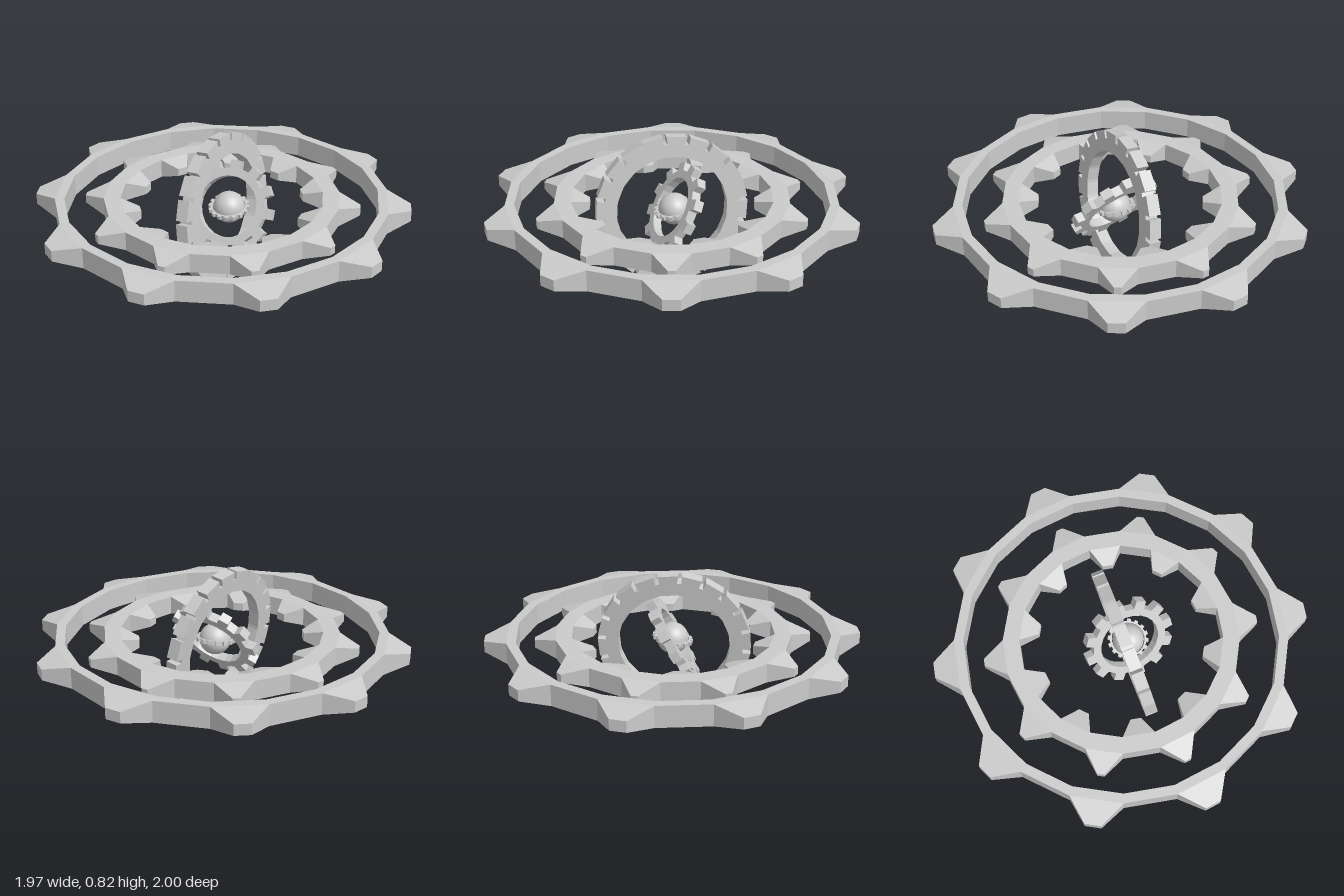
import * as THREE from 'three';

const material = new THREE.MeshStandardMaterial({ color: 0xcccccc, flatShading: true, side: THREE.DoubleSide });
const rad = THREE.MathUtils.degToRad;

// Wedge between radii r0 and r1; [from, to] angles and half-heights at each radius
function addWedge(out, r0, r1, span0, span1, h0, h1, ends) {
  const at = (outer, end, up) => {
    const r = outer ? r1 : r0, a = (outer ? span1 : span0)[end], h = outer ? h1 : h0;
    return [r * Math.cos(a), up ? h : -h, r * Math.sin(a)];
  };
  const quad = (a, b, c, d) => out.push(...a, ...b, ...c, ...a, ...c, ...d);
  quad(at(0, 0, 1), at(0, 1, 1), at(1, 1, 1), at(1, 0, 1));
  quad(at(0, 0, 0), at(1, 0, 0), at(1, 1, 0), at(0, 1, 0));
  quad(at(1, 0, 0), at(1, 0, 1), at(1, 1, 1), at(1, 1, 0));
  quad(at(0, 0, 0), at(0, 1, 0), at(0, 1, 1), at(0, 0, 1));
  if (ends) {
    quad(at(0, 1, 0), at(1, 1, 0), at(1, 1, 1), at(0, 1, 1));
    quad(at(0, 0, 0), at(0, 0, 1), at(1, 0, 1), at(1, 0, 0));
  }
}

// Toothed ring around the y axis; root and crest are half-widths as shares of the pitch
function gearRing(name, { teeth, inner, outer, tip, h, tipH = h, root, crest, phase = 0, inward }) {
  const out = [], pitch = Math.PI * 2 / teeth;
  for (let i = 0; i < teeth; i++) {
    const mid = rad(phase) + i * pitch;
    const span = (m, w) => [m - w * pitch, m + w * pitch];
    const tooth = span(mid, root), gap = span(mid + pitch / 2, 0.5 - root);
    addWedge(out, inner, outer, tooth, tooth, h, h, false);
    addWedge(out, inner, outer, gap, gap, h, h, false);
    addWedge(out, outer, tip, tooth, span(mid, crest), h, tipH, true);
    if (inward) addWedge(out, inward.tip, inner, span(mid + pitch / 2, inward.crest), gap, tipH, h, true);
  }
  const geometry = new THREE.BufferGeometry();
  geometry.setAttribute('position', new THREE.Float32BufferAttribute(out, 3));
  geometry.computeVertexNormals();
  const mesh = new THREE.Mesh(geometry, material);
  mesh.name = name;
  return mesh;
}

// Put a ring at a centre with its axis along a direction
function place(mesh, center, axis) {
  mesh.position.set(...center);
  mesh.quaternion.setFromUnitVectors(new THREE.Vector3(0, 1, 0), new THREE.Vector3(...axis).normalize());
  return mesh;
}

export function createModel() {
  const model = new THREE.Group();
  model.name = 'gearOrrery';
  const core = [0.035, 0.42, -0.02];

  // Two flat rings with tapered teeth
  model.add(place(gearRing('outerRing', {
    teeth: 10, inner: 0.835, outer: 0.885, tip: 1.0, h: 0.058, tipH: 0.03,
    root: 0.25, crest: 0.068, phase: -83.7,
  }), [0, 0.43, 0], [0, 1, 0]));
  model.add(place(gearRing('doubleToothedRing', {
    teeth: 10, inner: 0.54, outer: 0.628, tip: 0.735, h: 0.052, tipH: 0.022,
    root: 0.25, crest: 0.04, phase: -83.7, inward: { tip: 0.44, crest: 0.1 },
  }), [0, 0.43, 0], [0, 1, 0]));

  // Upright ring with narrow slots
  model.add(place(gearRing('uprightRing', {
    teeth: 20, inner: 0.298, outer: 0.367, tip: 0.41, h: 0.033, root: 0.4, crest: 0.42,
  }), [0.015, 0.41, 0], [1, 0.12, -0.41]));

  // Small tilted gear
  model.add(place(gearRing('tiltedGear', {
    teeth: 12, inner: 0.165, outer: 0.208, tip: 0.252, h: 0.025, root: 0.27, crest: 0.21,
  }), core, [0.42, 0.5, 0.757]));

  // Fine collar and the smooth ball it surrounds
  model.add(place(gearRing('coreCollar', {
    teeth: 16, inner: 0.088, outer: 0.098, tip: 0.11, h: 0.01, root: 0.28, crest: 0.22,
  }), core, [0.1, 1, 0.15]));
  const ball = new THREE.Mesh(new THREE.SphereGeometry(0.085, 32, 20),
    new THREE.MeshStandardMaterial({ color: 0xcccccc }));
  ball.name = 'coreBall';
  ball.position.set(...core);
  model.add(ball);
  return model;
}
